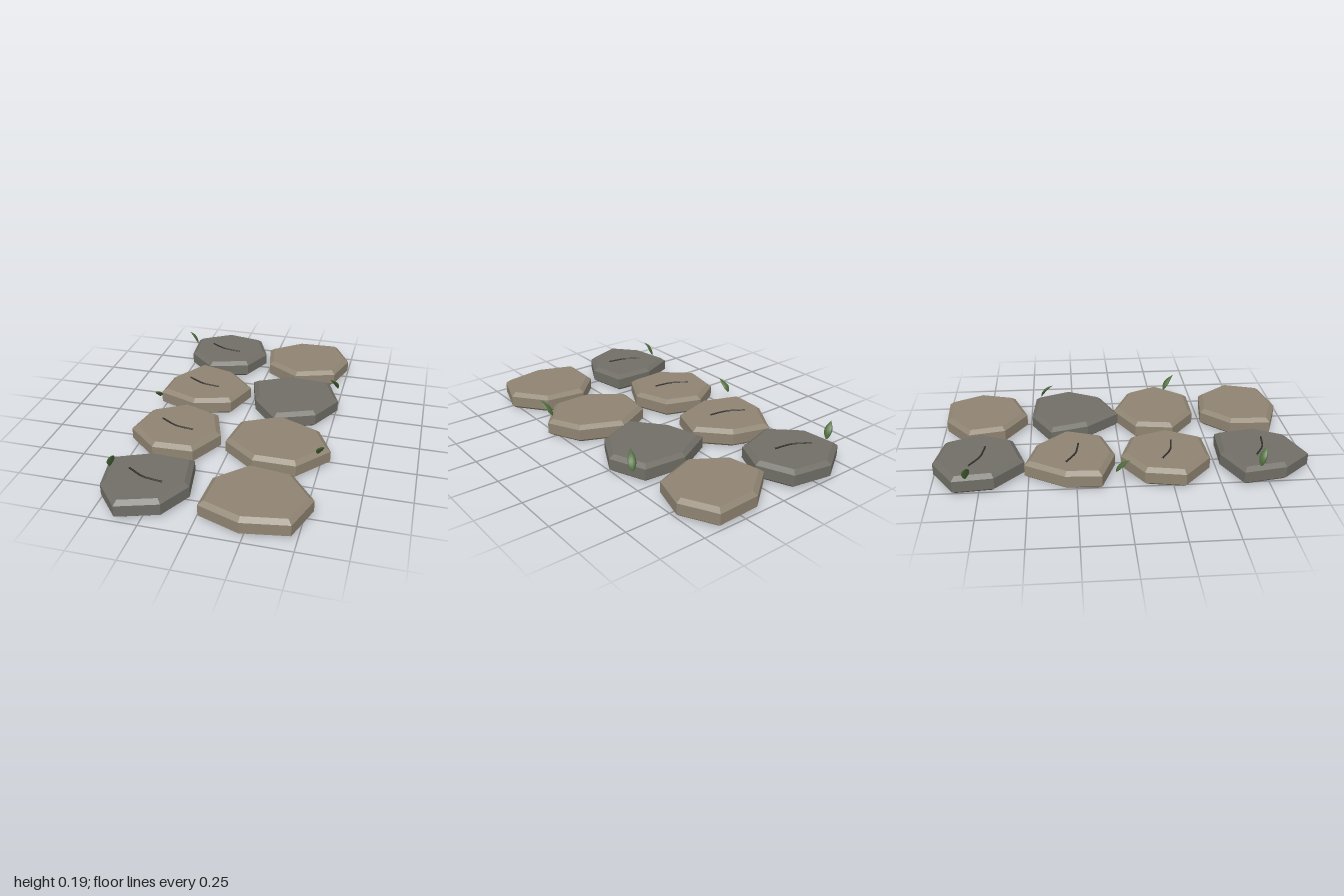
import * as THREE from 'three';

const tan = new THREE.MeshStandardMaterial({ color: 0x8f8472, flatShading: true });
const grey = new THREE.MeshStandardMaterial({ color: 0x706e66, flatShading: true });
const dark = new THREE.MeshStandardMaterial({ color: 0x35322e });
const green = new THREE.MeshStandardMaterial({ color: 0x4c6b3a, side: THREE.DoubleSide });

// Seven-sided slab outlines as [x, z] corners
const slabs = [
  [grey, [[-.33, -1], [-.11, -.96], [-.03, -.77], [-.11, -.59], [-.34, -.52], [-.5, -.67], [-.52, -.88]]],
  [tan, [[.16, -.98], [.4, -.99], [.5, -.8], [.44, -.6], [.21, -.52], [.02, -.64], [-.02, -.84]]],
  [tan, [[-.38, -.52], [-.17, -.46], [-.02, -.3], [-.09, -.1], [-.3, -.04], [-.52, -.12], [-.51, -.31]]],
  [grey, [[.19, -.49], [.43, -.47], [.51, -.27], [.41, -.08], [.19, .01], [.04, -.17], [-.02, -.38]]],
  [tan, [[-.32, -.01], [-.12, .06], [-.05, .26], [-.15, .45], [-.37, .46], [-.54, .31], [-.5, .1]]],
  [tan, [[.23, -.01], [.46, .09], [.55, .27], [.4, .45], [.17, .45], [-.01, .31], [.02, .1]]],
  [grey, [[-.34, .52], [-.11, .53], [-.07, .75], [-.16, .92], [-.37, .99], [-.5, .84], [-.54, .61]]],
  [tan, [[.17, .5], [.4, .53], [.54, .71], [.47, .92], [.23, .96], [.01, .88], [.02, .65]]],
];

// Leaf base and tip positions
const leaves = [
  [[-.51, .09, -.81], [-.56, .177, -.79]],
  [[-.505, .095, -.05], [-.5, .157, .025]],
  [[-.505, .095, .7], [-.465, .187, .735]],
  [[.485, .075, -.44], [.445, .162, -.365]],
  [[.49, .09, .32], [.53, .172, .385]],
];

// Slab with chamfered top and bottom rims
function slabGeometry(corners) {
  const shape = new THREE.Shape(corners.map(([x, z]) => new THREE.Vector2(x, -z)));
  return new THREE.ExtrudeGeometry(shape, {
    depth: .06, bevelThickness: .02, bevelSize: .025, bevelOffset: -.025, bevelSegments: 1,
  }).rotateX(-Math.PI / 2).translate(0, .02, 0);
}

// Pointed leaf: flattened rings that swell and taper along a bent spine
function leafGeometry(base, tip) {
  const a = new THREE.Vector3(...base), b = new THREE.Vector3(...tip);
  const bend = a.clone().lerp(b, .25).setY(THREE.MathUtils.lerp(a.y, b.y, .65));
  const spine = new THREE.QuadraticBezierCurve3(a, bend, b);
  const across = new THREE.Vector3(b.z - a.z, 0, a.x - b.x).normalize();
  const rows = 10, sides = 8, pos = [], index = [];
  for (let i = 0; i <= rows; i++) {
    const t = i / rows, p = spine.getPoint(t);
    const normal = new THREE.Vector3().crossVectors(across, spine.getTangent(t));
    const swell = .12 * (1 - t) + .9 * Math.sin(Math.PI * Math.pow(t, .85));
    for (let j = 0; j <= sides; j++) {
      const u = j / sides * Math.PI * 2;
      const v = p.clone().addScaledVector(across, .022 * swell * Math.cos(u))
        .addScaledVector(normal, .008 * swell * Math.sin(u));
      pos.push(v.x, v.y, v.z);
      if (i < rows && j < sides) {
        const k = i * (sides + 1) + j, n = k + sides + 1;
        index.push(k, n, k + 1, k + 1, n, n + 1);
      }
    }
  }
  const g = new THREE.BufferGeometry();
  g.setAttribute('position', new THREE.Float32BufferAttribute(pos, 3));
  // Wind the faces outward
  for (let i = 0; i < index.length; i += 3) [index[i + 1], index[i + 2]] = [index[i + 2], index[i + 1]];
  g.setIndex(index);
  g.computeVertexNormals();
  return g;
}

export function createModel() {
  const model = new THREE.Group();
  model.name = 'steppingStones';
  const add = (name, geometry, material) => {
    const mesh = new THREE.Mesh(geometry, material);
    mesh.name = name;
    model.add(mesh);
  };

  slabs.forEach(([material, corners], i) => add(`stone${i + 1}`, slabGeometry(corners), material));

  // One thin crack on each stone of the right-hand column
  [-.805, -.305, .2, .7].forEach((z, i) => {
    const path = new THREE.CatmullRomCurve3([[-.4, 0], [-.31, .053], [-.26, .064], [-.2, .072]]
      .map(([x, dz]) => new THREE.Vector3(x, .102, z + dz)));
    add(`crack${i + 1}`, new THREE.TubeGeometry(path, 16, .005, 6), dark);
  });

  leaves.forEach(([base, tip], i) => add(`leaf${i + 1}`, leafGeometry(base, tip), green));
  return model;
}
